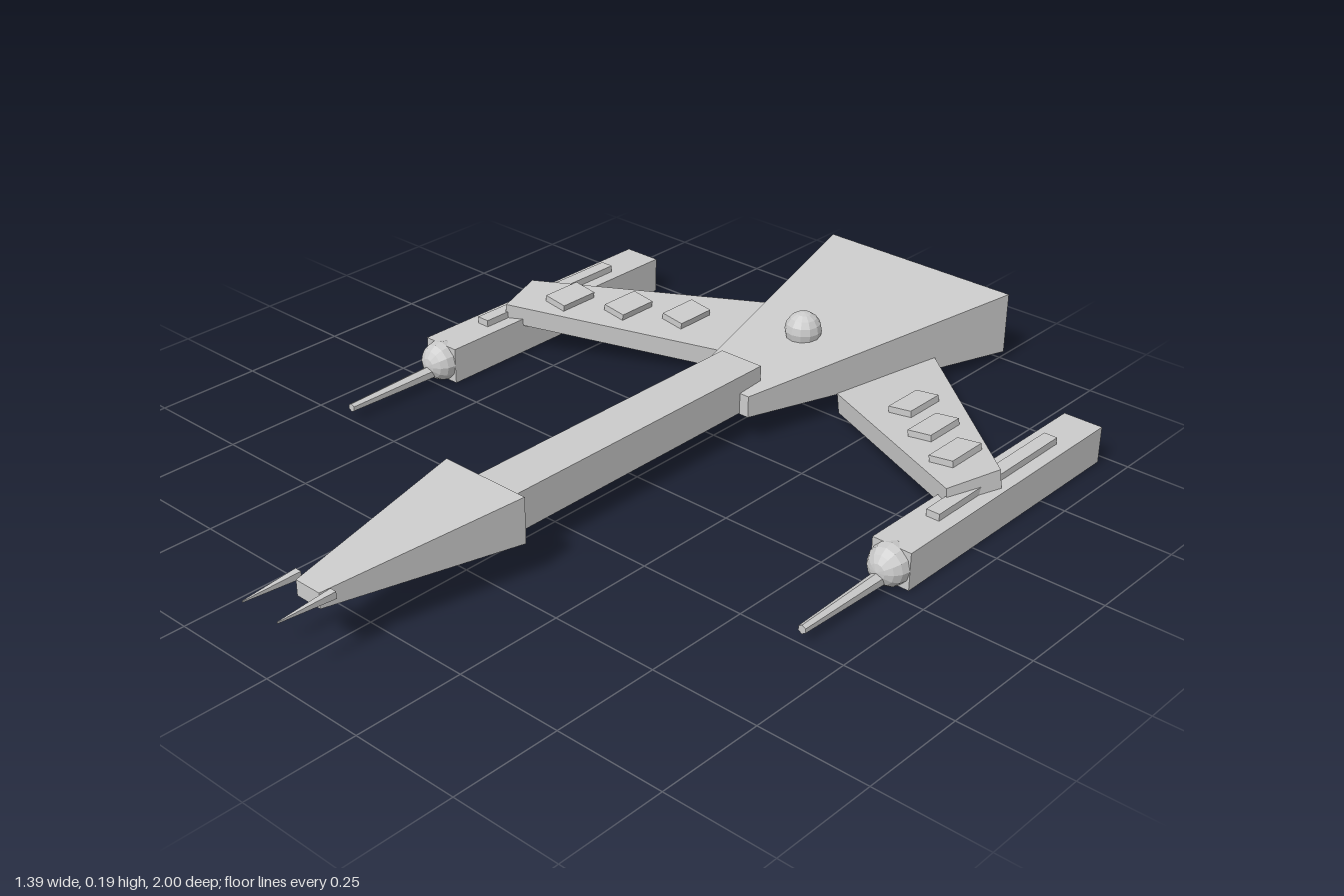
import * as THREE from 'three';

const material = new THREE.MeshStandardMaterial({ color: 0xcccccc, flatShading: true });

function add(parent, name, geometry, x = 0, y = 0, z = 0) {
  const mesh = new THREE.Mesh(geometry, material);
  mesh.name = name;
  mesh.position.set(x, y, z);
  parent.add(mesh);
  return mesh;
}

// Box whose rear and front ends have their own half width, bottom and top
function taperedBox(rear, front) {
  const geometry = new THREE.BoxGeometry(2, 1, 1);
  const p = geometry.attributes.position;
  for (let i = 0; i < p.count; i++) {
    const end = p.getZ(i) > 0 ? front : rear;
    p.setXYZ(i, p.getX(i) * end.w, p.getY(i) > 0 ? end.top : end.bottom, end.z);
  }
  geometry.computeVertexNormals();
  return geometry;
}

// Upswept wing with raised panels; side is +1 or -1
function createWing(side) {
  const wing = new THREE.Group();
  wing.name = side > 0 ? 'leftWing' : 'rightWing';
  const thickness = 0.047;
  const outline = [[0.149, 0.51], [0.216, 0.79], [0.688, 0.357], [0.645, 0.228]];
  const shape = new THREE.Shape(outline.map(([x, y]) => new THREE.Vector2(side * x, y)));
  const slab = new THREE.ExtrudeGeometry(shape, { depth: thickness, bevelEnabled: false });
  slab.rotateX(-Math.PI / 2);
  add(wing, 'wingSlab', slab);
  for (const [x, z] of [[0.344, -0.533], [0.456, -0.45], [0.57, -0.367]]) {
    add(wing, 'wingPanel', new THREE.BoxGeometry(0.06, 0.03, 0.103), side * x, thickness, z);
  }
  wing.rotation.z = side * 0.143;
  wing.position.y = -0.006;
  return wing;
}

// Wingtip pod with a ball nose and a slim barrel
function createPod(side) {
  const pod = new THREE.Group();
  pod.name = side > 0 ? 'leftPod' : 'rightPod';
  add(pod, 'podBody', new THREE.BoxGeometry(0.094, 0.086, 0.69), 0, 0.054, -0.375);
  add(pod, 'podRidge', new THREE.BoxGeometry(0.032, 0.03, 0.425), 0, 0.098, -0.377);
  const ball = new THREE.SphereGeometry(0.047, 12, 8);
  ball.rotateX(Math.PI / 2);
  add(pod, 'podNose', ball, 0, 0.055, -0.03);
  const barrel = new THREE.CylinderGeometry(0.01, 0.017, 0.265, 6);
  barrel.rotateX(Math.PI / 2);
  add(pod, 'podBarrel', barrel, 0, 0.037, 0.1125);
  pod.position.x = side * 0.646;
  return pod;
}

export function createModel() {
  const model = new THREE.Group();
  model.name = 'spaceship';

  // Central body
  add(model, 'hull', taperedBox(
    { z: -1, w: 0.26, bottom: 0.027, top: 0.176 },
    { z: -0.27, w: 0.08, bottom: 0.074, top: 0.125 }));
  add(model, 'dome', new THREE.SphereGeometry(0.043, 12, 8), 0, 0.159, -0.558);
  add(model, 'neck', new THREE.BoxGeometry(0.112, 0.09, 0.81), 0, 0.121, 0.065);
  add(model, 'head', taperedBox(
    { z: 0.44, w: 0.111, bottom: 0.089, top: 0.195 },
    { z: 0.89, w: 0.033, bottom: 0.122, top: 0.157 }));

  // Mirrored parts
  for (const side of [1, -1]) {
    const prong = taperedBox(
      { z: 0.87, w: 0.008, bottom: 0.146, top: 0.162 },
      { z: 1, w: 0.001, bottom: 0.153, top: 0.156 });
    add(model, side > 0 ? 'leftProng' : 'rightProng', prong, side * 0.05);
    model.add(createWing(side), createPod(side));
  }
  return model;
}
